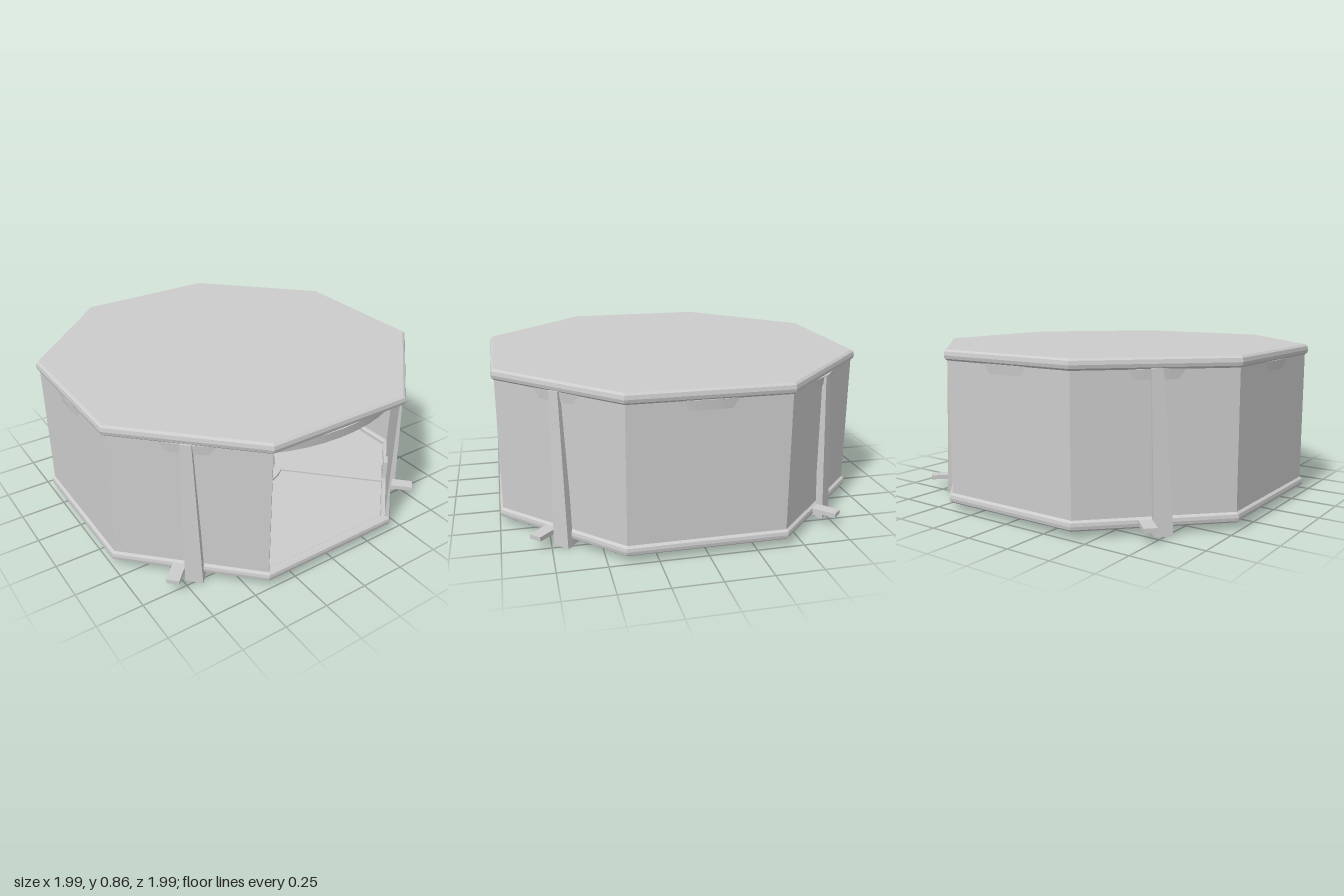
import * as THREE from 'three';

const flat = new THREE.MeshStandardMaterial({ color: 0xcccccc, flatShading: true });
const smooth = new THREE.MeshStandardMaterial({ color: 0xcccccc });
const COS8 = Math.cos(Math.PI / 8);

function part(parent, name, geometry, x = 0, y = 0, z = 0, material = flat) {
  const mesh = new THREE.Mesh(geometry, material);
  mesh.name = name;
  mesh.position.set(x, y, z);
  parent.add(mesh);
  return mesh;
}

// Eight-sided turned solid; profile is [distance to flat side, y], bottom to top
function octagon(parent, name, profile) {
  const points = profile.map(([r, y]) => new THREE.Vector2(r / COS8, y));
  part(parent, name, new THREE.LatheGeometry(points, 8)).rotation.y = Math.PI / 8;
}

// Box given by its spans in x, y and z
function spanBox(parent, name, [x0, x1], [y0, y1], [z0, z1]) {
  return part(parent, name, new THREE.BoxGeometry(x1 - x0, y1 - y0, z1 - z0),
    (x0 + x1) / 2, (y0 + y1) / 2, (z0 + z1) / 2);
}

// Narrowing leg that leans inward and sideways toward its top
function legGeometry() {
  const geo = new THREE.BoxGeometry(1, 1, 1);
  const p = geo.attributes.position;
  for (let i = 0; i < p.count; i++) {
    const t = p.getY(i) + 0.5;
    const width = THREE.MathUtils.lerp(0.095, 0.057, t);
    const front = THREE.MathUtils.lerp(1.027, 1.0, t);
    p.setXYZ(i, p.getX(i) * width + 0.03 * (1 - t), t * 0.805,
      p.getZ(i) > 0 ? front : front - 0.038);
  }
  geo.computeVertexNormals();
  return geo;
}

export function createModel() {
  const model = new THREE.Group();
  model.name = 'octagonalPavilion';

  // Roof slab with rounded edge
  octagon(model, 'roof', [[0, 0.79], [0.97, 0.79], [0.98, 0.798], [0.992, 0.808],
    [0.996, 0.825], [0.992, 0.845], [0.98, 0.855], [0, 0.855]]);

  // Floor with a raised rounded rim
  octagon(model, 'floor', [[0, 0.046], [0.955, 0.046], [0.96, 0.036], [0.98, 0.036],
    [0.993, 0.046], [0.996, 0.063], [0.993, 0.08], [0.98, 0.09], [0.955, 0.09],
    [0.945, 0.08], [0.945, 0.058], [0, 0.058]]);

  // Walls on seven sides; the front stays open
  for (let i = 1; i < 8; i++) {
    const side = new THREE.Group();
    side.name = 'wallSide';
    side.rotation.y = i * Math.PI / 4;
    spanBox(side, 'wall', [-0.406, 0.406], [0.07, 0.81], [0.968, 0.98]);
    model.add(side);
  }

  // Round ceiling drum that just breaks through the walls
  part(model, 'ceilingDrum', new THREE.CylinderGeometry(0.991, 0.986, 0.05, 64), 0, 0.775, 0, smooth);
  const dome = part(model, 'ceilingDome',
    new THREE.SphereGeometry(0.22, 32, 8, 0, Math.PI * 2, Math.PI / 2, Math.PI / 2), 0, 0.752, 0, smooth);
  dome.scale.y = 0.08;

  // Central hub in the floor, with ring and faceted knob
  part(model, 'hub', new THREE.CylinderGeometry(0.34, 0.34, 0.034, 48), 0, 0.054, 0, smooth);
  const ring = part(model, 'hubRing', new THREE.TorusGeometry(0.27, 0.025, 8, 48), 0, 0.068, 0, smooth);
  ring.rotation.x = Math.PI / 2;
  ring.scale.z = 0.6;
  part(model, 'knobStem', new THREE.CylinderGeometry(0.015, 0.02, 0.05, 8), 0, 0.085, 0);
  part(model, 'knob', new THREE.IcosahedronGeometry(0.04), -0.01, 0.122, 0);

  // Four diagonal supports: spoke, leg, foot, step and inner bracket
  const leg = legGeometry();
  for (let i = 0; i < 4; i++) {
    const support = new THREE.Group();
    support.name = 'support';
    support.rotation.y = Math.PI / 4 + i * Math.PI / 2;
    spanBox(support, 'spoke', [-0.035, 0.035], [0.04, 0.068], [0.3, 0.98]);
    part(support, 'leg', leg);
    spanBox(support, 'foot', [-0.005, 0.075], [0.004, 0.045], [0.885, 1.02]);
    spanBox(support, 'step', [-0.088, -0.02], [0.056, 0.08], [0.95, 1.122]);
    spanBox(support, 'innerBracket', [-0.035, 0.035], [0.05, 0.2], [0.945, 0.97]);
    model.add(support);
  }
  return model;
}
